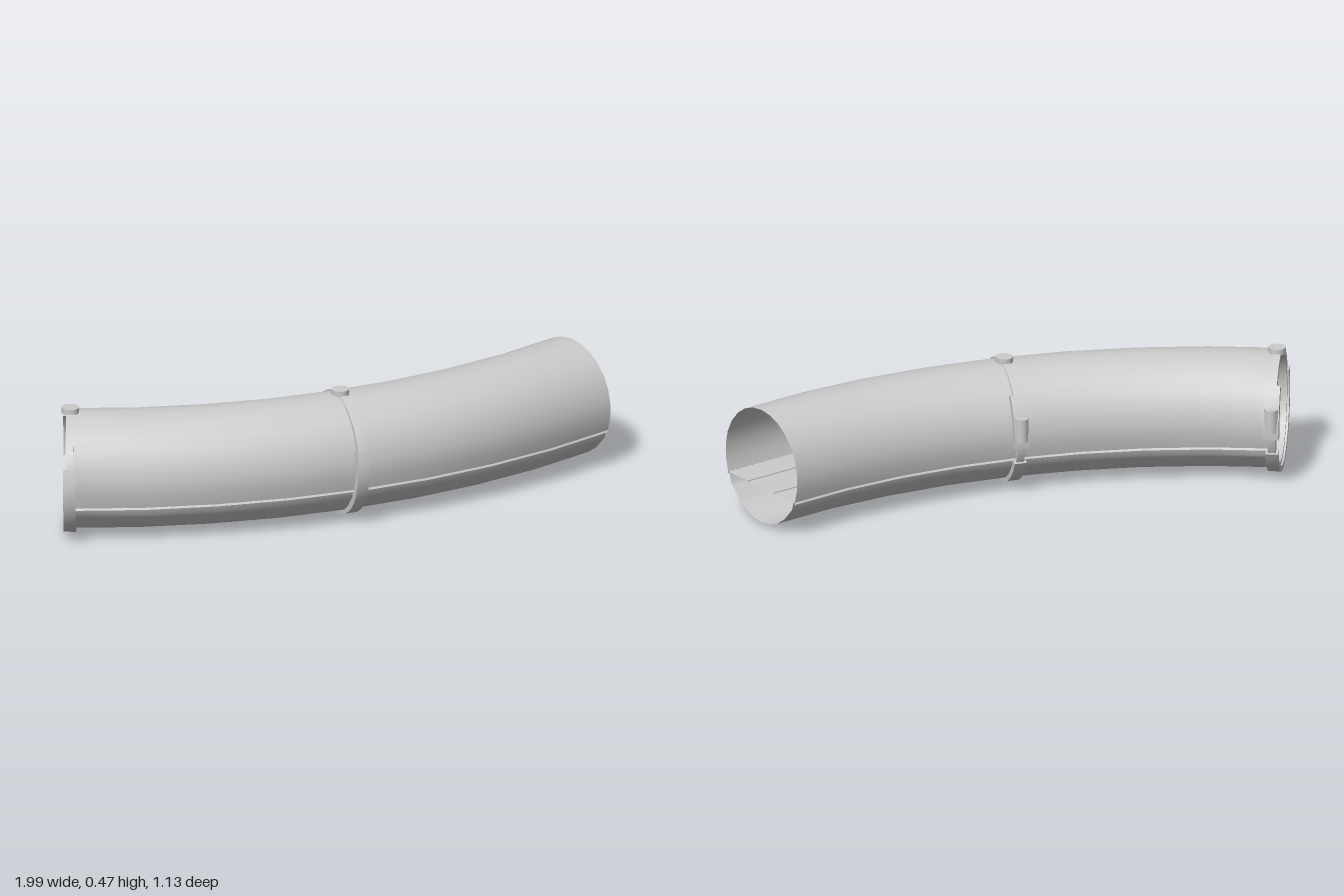
import * as THREE from 'three';
import { toCreasedNormals } from 'three/addons/utils/BufferGeometryUtils.js';

const R = 2.567, CX = -0.97, CZ = -2.237; // bend radius and bend centre
const CY = 0.233, A = 0.208, B = 0.222;   // tube centre height and half axes
const BEND = Math.PI / 4, STEPS = 8;
const rad = THREE.MathUtils.degToRad;
const material = new THREE.MeshStandardMaterial({ color: 0xcccccc, side: THREE.DoubleSide });

// Sweeps a profile of [outward, height] points around the bend
function sweep(profile, name) {
  const pos = [], idx = [], n = profile.length;
  for (let s = 0; s <= STEPS; s++) {
    const a = BEND * s / STEPS;
    for (const [u, y] of profile) {
      pos.push(CX + (R + u) * Math.sin(a), y, CZ + (R + u) * Math.cos(a));
    }
  }
  for (let s = 0; s < STEPS; s++) {
    for (let i = 0; i < n - 1; i++) {
      const p = s * n + i, q = p + n;
      idx.push(p, q, p + 1, q, q + 1, p + 1);
    }
  }
  const geo = new THREE.BufferGeometry();
  geo.setAttribute('position', new THREE.Float32BufferAttribute(pos, 3));
  geo.setIndex(idx);
  const mesh = new THREE.Mesh(toCreasedNormals(geo, 0.55), material);
  mesh.name = name;
  return mesh;
}

// Points on an ellipse between two angles (0 = outer side of the bend, 90 = top)
function arc(a, b, from, to, n, cy = 0) {
  const pts = [];
  for (let i = 0; i <= n; i++) {
    const t = rad(from + (to - from) * i / n);
    pts.push([a * Math.cos(t), cy + b * Math.sin(t)]);
  }
  return pts;
}

// Curved strap lying around the tube, centred on the station plane
function strap(name, inner, outer, from, to, width) {
  const n = Math.max(6, Math.round((to - from) / 9));
  const outline = [
    ...arc(outer, outer - 0.002, from, to, n),
    ...arc(inner, inner + 0.01, to, from, n),
  ].map(([x, y]) => new THREE.Vector2(x, y));
  const geo = new THREE.ExtrudeGeometry(new THREE.Shape(outline), { depth: width, bevelEnabled: false });
  geo.translate(0, 0, -width / 2).rotateY(-Math.PI / 2);
  const mesh = new THREE.Mesh(toCreasedNormals(geo, 0.5), material);
  mesh.name = name;
  return mesh;
}

// Collar with a thick lower strap, side clamp and top cap
function collar(name, angle, inner) {
  const g = new THREE.Group();
  g.name = name;
  g.add(strap('collarRing', inner, 0.227, 0, 360, 0.03));
  g.add(strap('lowerStrap', 0.205, 0.235, -155, 19, 0.045));
  g.add(strap('clampBlock', 0.205, 0.238, 138, 188, 0.058));

  const cap = new THREE.Mesh(new THREE.CylinderGeometry(0.032, 0.032, 0.022, 16), material);
  cap.name = 'topCap';
  cap.position.y = 0.229;
  g.add(cap);

  // Rounded latch on the clamp
  const latch = new THREE.Mesh(new THREE.CylinderGeometry(0.026, 0.026, 0.09, 12), material);
  latch.name = 'clampLatch';
  latch.position.set(0, 0.04, -0.222);
  g.add(latch);

  g.position.set(CX + R * Math.sin(angle), CY, CZ + R * Math.cos(angle));
  g.rotation.y = angle;
  return g;
}

export function createModel() {
  const model = new THREE.Group();
  model.name = 'curvedTunnel';

  // Upper shell, overhanging the lower one with a narrow lip
  model.add(sweep([
    [0.186, 0.143], [0.197, 0.143],
    ...arc(A, B, -22, 202, 16, CY),
    [-0.197, 0.143], [-0.186, 0.143],
  ], 'upperShell'));

  // Lower shell, slightly inset below the lip
  model.add(sweep([
    [-0.186, 0.15], [-0.177, 0.115],
    ...arc(A - 0.004, B, 216, 324, 8, CY),
    [0.177, 0.115], [0.186, 0.15],
  ], 'lowerShell'));

  // Floor with two shallow grooves
  const half = [[0.07, 0.15], [0.07, 0.146], [0.08, 0.146], [0.08, 0.15], [0.192, 0.15]];
  model.add(sweep([
    ...half.map(([u, y]) => [-u, y]).reverse(),
    ...half,
  ], 'floor'));

  model.add(collar('endCollar', 0, 0.192));
  model.add(collar('middleCollar', BEND / 2, 0.203));
  return model;
}
